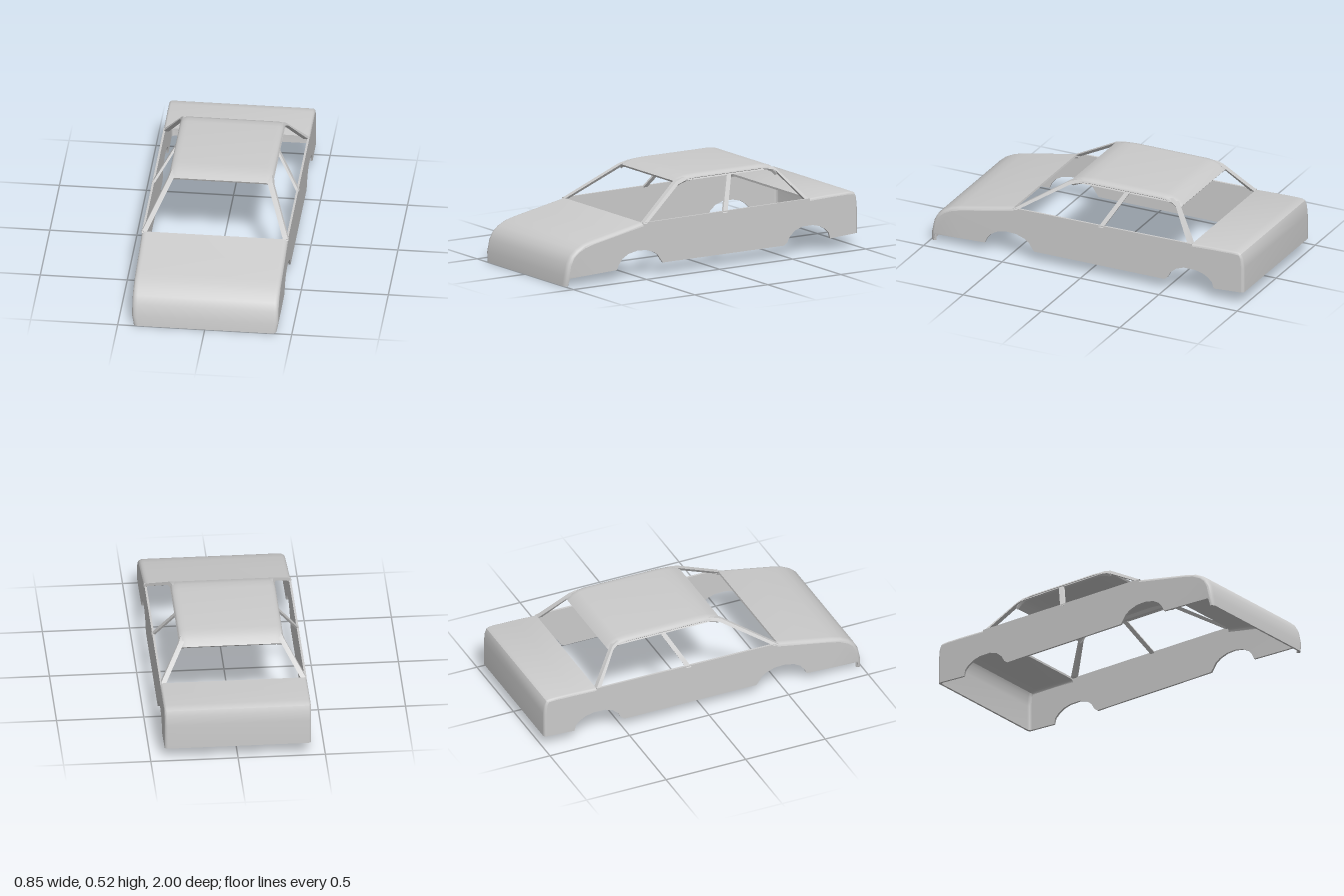
import * as THREE from 'three';
import { toCreasedNormals } from 'three/addons/utils/BufferGeometryUtils.js';

const WALL = 0.012;
const material = new THREE.MeshStandardMaterial({ color: 0xcccccc, side: THREE.DoubleSide });

// Moves a [z, y] profile inward by d along its normal
function inset(profile, d) {
  return profile.map(([z, y], i) => {
    const a = profile[Math.max(i - 1, 0)];
    const b = profile[Math.min(i + 1, profile.length - 1)];
    const tz = b[0] - a[0], ty = b[1] - a[1], l = Math.hypot(tz, ty);
    return [z - (d * ty) / l, Math.max(0, y + (d * tz) / l)];
  });
}

// Thin panel following a [z, y] profile, with rounded shoulders on both sides
function panel(name, profile, halfWidth, rx, ry) {
  const half = [];
  for (let k = 0; k <= 5; k++) {
    const a = (k / 5) * Math.PI / 2;
    half.push([halfWidth - rx * (1 - Math.cos(a)), ry * (1 - Math.sin(a))]);
  }
  const outer = [...half.map(([x, d]) => [-x, d]), ...half.slice().reverse()];
  const inner = outer.map(([x, d]) => [x * 0.97, d + WALL]).reverse();
  const columns = [...outer, ...inner];
  const n = columns.length, rows = profile.length;
  const lines = columns.map(([, d]) => inset(profile, d));
  const pos = [], index = [];
  for (let i = 0; i < rows; i++) {
    columns.forEach(([x], j) => pos.push(x, lines[j][i][1], lines[j][i][0]));
  }
  const quad = (a, b, c, d) => index.push(a, b, c, b, d, c);
  for (let i = 0; i < rows - 1; i++) {
    for (let j = 0; j < n; j++) {
      const k = (j + 1) % n;
      quad(i * n + j, i * n + k, (i + 1) * n + j, (i + 1) * n + k);
    }
  }
  // Close the front and rear edges
  const last = (rows - 1) * n;
  for (let j = 0; j < outer.length - 1; j++) {
    quad(n - 1 - j, n - 2 - j, j, j + 1);
    quad(last + j, last + j + 1, last + n - 1 - j, last + n - 2 - j);
  }
  const g = new THREE.BufferGeometry();
  g.setAttribute('position', new THREE.Float32BufferAttribute(pos, 3));
  g.setIndex(index);
  return mesh(name, g);
}

function mesh(name, geometry) {
  // The lowest edge tucks in slightly at the nose
  const p = geometry.attributes.position;
  for (let i = 0; i < p.count; i++) {
    const tuck = Math.max(0, 0.05 - p.getY(i)) / 0.05;
    p.setX(i, p.getX(i) * (1 - 0.024 * tuck));
  }
  const m = new THREE.Mesh(toCreasedNormals(geometry, 0.6), material);
  m.name = name;
  return m;
}

// Flat side part from a [z, y] outline; lean gives its x by height
function sidePart(name, outline, depth, side, lean) {
  const shape = new THREE.Shape(outline.map(([z, y]) => new THREE.Vector2(z, y)));
  const g = new THREE.ExtrudeGeometry(shape, { depth, bevelEnabled: false });
  g.rotateY(-Math.PI / 2);
  g.translate(side > 0 ? 0 : depth, 0, 0);
  const p = g.attributes.position;
  for (let i = 0; i < p.count; i++) p.setX(i, p.getX(i) + side * lean(p.getY(i)));
  return mesh(name, g);
}

export function createModel() {
  const car = new THREE.Group();
  car.name = 'carBody';

  const hood = [[1, 0], [0.995, 0.06], [0.98, 0.13], [0.955, 0.175], [0.92, 0.205],
    [0.87, 0.23], [0.81, 0.246], [0.65, 0.277], [0.47, 0.312]];
  const tail = [[-0.67, 0.32], [-0.8, 0.325], [-0.93, 0.327], [-0.965, 0.325],
    [-0.982, 0.317], [-0.994, 0.29], [-1, 0.23], [-1, 0.08]];
  const roof = [[0.165, 0.495], [0.13, 0.51], [0.09, 0.52], [0.03, 0.524], [-0.42, 0.524],
    [-0.47, 0.519], [-0.505, 0.505], [-0.54, 0.475]];

  car.add(panel('hoodAndNose', hood, 0.42, 0.03, 0.02));
  car.add(panel('trunkAndTail', tail, 0.42, 0.02, 0.015));
  car.add(panel('roof', roof, 0.298, 0.045, 0.02));

  // Lower edge with both wheel arches, rear to front
  const lowerEdge = [[-0.81, 0.07], [-0.8, 0.105], [-0.775, 0.13], [-0.74, 0.15], [-0.69, 0.162],
    [-0.62, 0.162], [-0.57, 0.145], [-0.535, 0.115], [-0.515, 0.08], [-0.495, 0.065],
    [0.335, 0.065], [0.35, 0.085], [0.37, 0.115], [0.4, 0.135], [0.45, 0.152],
    [0.51, 0.155], [0.57, 0.143], [0.61, 0.12], [0.635, 0.09], [0.65, 0.058],
    [0.8, 0.052], [0.97, 0.045]];
  const sideOutline = [...inset(hood, 0.02), [0.47, 0.312], [-0.67, 0.32],
    ...inset(tail, 0.015), ...lowerEdge];

  // Slender window frame: both end pillars and the roof rail
  const frame = [[0.475, 0.305], [0.165, 0.496], [0.11, 0.512], [-0.48, 0.512], [-0.515, 0.495],
    [-0.67, 0.315], [-0.642, 0.315], [-0.515, 0.478], [-0.485, 0.494], [0.105, 0.494],
    [0.155, 0.481], [0.445, 0.305]];
  const middlePillar = [[-0.075, 0.305], [-0.105, 0.305], [-0.215, 0.5], [-0.185, 0.5]];
  const leaning = (y) => 0.42 - (y - 0.31) * 0.65;

  for (const [label, side] of [['left', 1], ['right', -1]]) {
    car.add(sidePart(label + 'SidePanel', sideOutline, WALL, side, () => 0.42));
    car.add(sidePart(label + 'WindowFrame', frame, 0.03, side, leaning));
    car.add(sidePart(label + 'MiddlePillar', middlePillar, 0.015, side, leaning));
  }
  return car;
}
